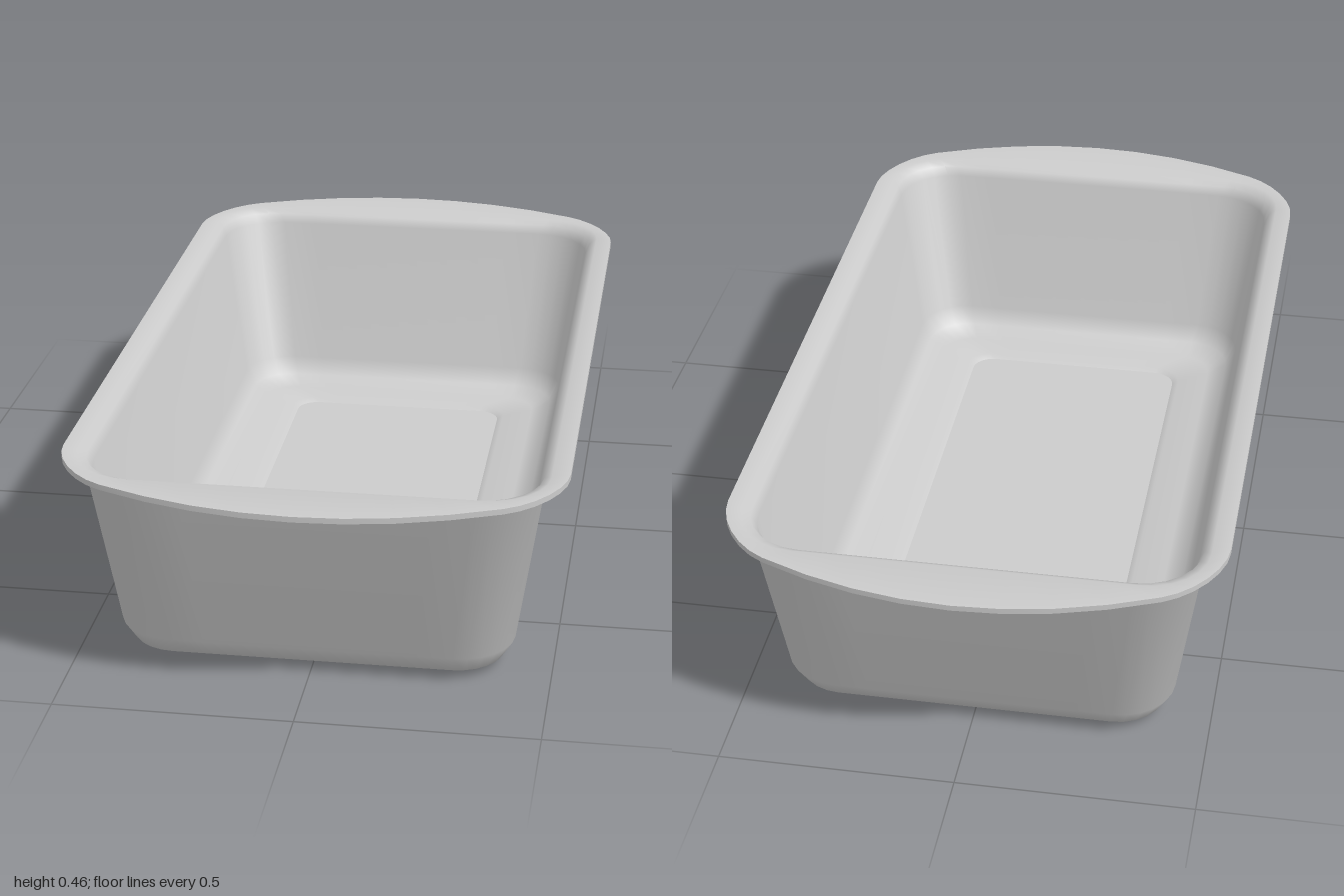
import * as THREE from 'three';
import { toCreasedNormals } from 'three/addons/utils/BufferGeometryUtils.js';

const CORNER = 6; // segments per rounded corner
const END = 8;    // segments along each short end

// Rounded rectangle at height y; bow pushes the short ends outwards.
function ring([y, hx, hz, r, bow = 0]) {
  const points = [];
  const add = (x, z) => {
    const bulge = bow * (1 - (x / hx) ** 2) * Math.sign(z);
    points.push(new THREE.Vector3(x, y, z + bulge));
  };
  for (let q = 0; q < 4; q++) {
    const sx = q === 0 || q === 3 ? 1 : -1;
    const sz = q < 2 ? 1 : -1;
    for (let i = 0; i <= CORNER; i++) {
      const a = (q + i / CORNER) * Math.PI / 2;
      add(sx * (hx - r) + r * Math.cos(a), sz * (hz - r) + r * Math.sin(a));
    }
    // Extra points along the short end that follows this corner
    if (q % 2 === 0) {
      for (let i = 1; i < END; i++) add(sx * (hx - r) * (1 - 2 * i / END), sz * hz);
    }
  }
  return points;
}

// Skin a stack of rings, optionally closing the first or last one.
function loft(name, profile, material, capStart = false, capEnd = false) {
  const rings = profile.map(ring);
  const n = rings[0].length;
  const positions = [];
  const index = [];
  rings.forEach(points => points.forEach(p => positions.push(p.x, p.y, p.z)));
  for (let k = 0; k < rings.length - 1; k++) {
    for (let j = 0; j < n; j++) {
      const a = k * n + j;
      const b = k * n + (j + 1) % n;
      index.push(a, a + n, b + n, a, b + n, b);
    }
  }
  const cap = (k, flip) => {
    const centre = positions.length / 3;
    positions.push(0, profile[k][0], 0);
    for (let j = 0; j < n; j++) {
      const a = k * n + j;
      const b = k * n + (j + 1) % n;
      if (flip) index.push(centre, a, b);
      else index.push(centre, b, a);
    }
  };
  if (capStart) cap(0, true);
  if (capEnd) cap(rings.length - 1, false);

  const geometry = new THREE.BufferGeometry();
  geometry.setAttribute('position', new THREE.Float32BufferAttribute(positions, 3));
  geometry.setIndex(index);
  const mesh = new THREE.Mesh(toCreasedNormals(geometry, 0.7), material);
  mesh.name = name;
  return mesh;
}

export function createModel() {
  const pan = new THREE.Group();
  pan.name = 'loafPan';
  const metal = new THREE.MeshStandardMaterial({ color: 0xcccccc, side: THREE.DoubleSide });

  // Profile rows: height, half width, half length, corner radius, end bow
  const rimLow = [0.443, 0.525, 0.84, 0.12, 0.16];
  const rimHigh = [0.455, 0.525, 0.84, 0.12, 0.16];
  const panelEdge = [0.006, 0.258, 0.643, 0.05];

  // Flat base, sloping outer walls and underside of the flange
  pan.add(loft('outerShell', [
    [0, 0.345, 0.73, 0.07],
    [0.02, 0.395, 0.777, 0.1],
    [0.06, 0.419, 0.802, 0.12],
    [0.415, 0.473, 0.857, 0.13],
    [0.433, 0.483, 0.867, 0.13],
    [0.443, 0.5, 0.884, 0.13],
    rimLow,
  ], metal, true));

  // Thin outer edge of the flange
  pan.add(loft('rimEdge', [rimLow, rimHigh], metal));

  // Top of the flange, rolled lip, inner walls, floor and step to the panel
  pan.add(loft('innerTub', [
    rimHigh,
    [0.455, 0.488, 0.872, 0.13],
    [0.446, 0.472, 0.855, 0.13],
    [0.425, 0.462, 0.845, 0.13],
    [0.072, 0.408, 0.79, 0.11],
    [0.032, 0.386, 0.767, 0.1],
    [0.014, 0.342, 0.722, 0.07],
    [0.014, 0.272, 0.657, 0.06],
    panelEdge,
  ], metal));

  // Shallow sunken panel in the floor
  pan.add(loft('floorPanel', [panelEdge, [0.006, 0.2, 0.58, 0.04]], metal, false, true));

  return pan;
}
